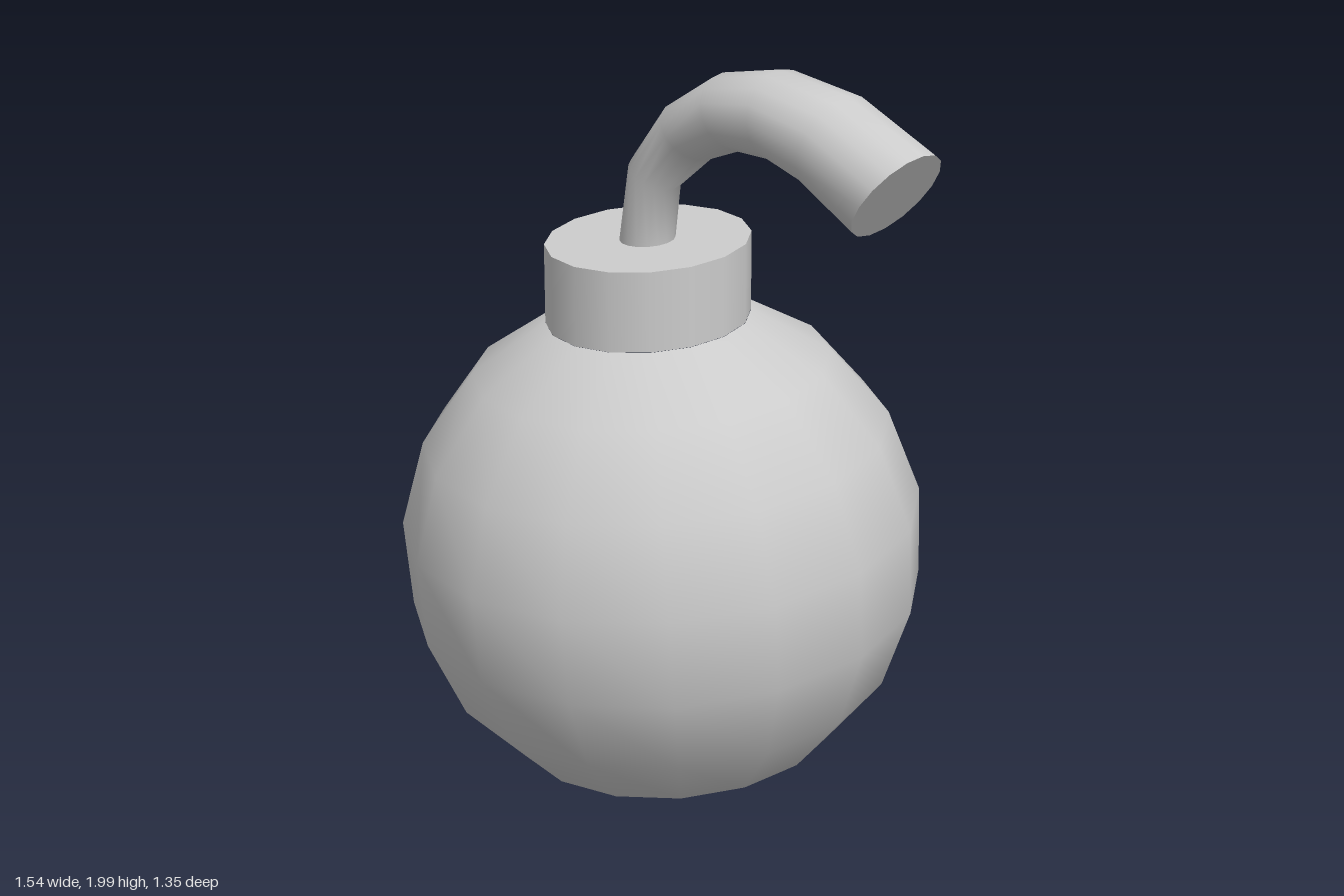
import * as THREE from 'three';

const SIDES = 16, RADIUS = 0.68, CAP = Math.PI / 8, TILT = 0.084;

// Tapered tube from [upperX, upperY, lowerX, lowerY, halfDepth] sections, closed by a flat end.
function sectionTube(sections, z) {
  const pos = [], index = [];
  const addRing = ([ux, uy, lx, ly, depth]) => {
    for (let j = 0; j < SIDES; j++) {
      const a = (j / SIDES) * Math.PI * 2, c = Math.cos(a);
      pos.push((ux + lx) / 2 + ((ux - lx) / 2) * c, (uy + ly) / 2 + ((uy - ly) / 2) * c, z + depth * Math.sin(a));
    }
  };
  sections.forEach(addRing);
  for (let i = 0; i < sections.length - 1; i++) {
    for (let j = 0; j < SIDES; j++) {
      const a = i * SIDES + j, b = i * SIDES + ((j + 1) % SIDES);
      index.push(a, b, a + SIDES, b, b + SIDES, a + SIDES);
    }
  }
  // The end has its own ring so its edge stays sharp
  const end = sections.length * SIDES;
  addRing(sections[sections.length - 1]);
  for (let j = 1; j < SIDES - 1; j++) index.push(end, end + j, end + j + 1);

  const geo = new THREE.BufferGeometry();
  geo.setAttribute('position', new THREE.Float32BufferAttribute(pos, 3));
  geo.setIndex(index);
  geo.computeVertexNormals();
  return geo;
}

export function createModel() {
  const model = new THREE.Group();
  const material = new THREE.MeshStandardMaterial({ color: 0xcccccc });
  const add = (name, geo) => {
    const mesh = new THREE.Mesh(geo, material);
    mesh.name = name;
    model.add(mesh);
    return mesh;
  };
  const cx = -0.093;

  // Round body, leaning slightly forward, open under the neck
  const body = add('body', new THREE.SphereGeometry(RADIUS, SIDES, 8, 0, Math.PI * 2, CAP, Math.PI - CAP));
  body.position.set(cx, 0.683, 0);
  body.rotation.x = TILT;

  // Neck: upright walls with both rims following the lean of the body
  const neckGeo = new THREE.CylinderGeometry(0.26, 0.26, 0.203, SIDES);
  neckGeo.applyMatrix4(new THREE.Matrix4().set(
    1, 0, 0, 0,
    0, 1, -Math.tan(TILT), 0,
    0, 0, Math.cos(TILT), 0,
    0, 0, 0, 1));
  add('neck', neckGeo).position.set(cx, 1.411, 0.053);

  // Bent fuse, widening towards its cut end
  add('fuse', sectionTube([
    [-0.163, 1.5, -0.023, 1.5, 0.07],
    [-0.125, 1.715, -0.005, 1.65, 0.07],
    [0, 1.87, 0.11, 1.745, 0.088],
    [0.16, 1.967, 0.23, 1.79, 0.11],
    [0.34, 2.0, 0.35, 1.787, 0.122],
    [0.55, 1.967, 0.47, 1.745, 0.131],
    [0.77, 1.865, 0.62, 1.653, 0.132],
  ], 0.056));

  return model;
}
